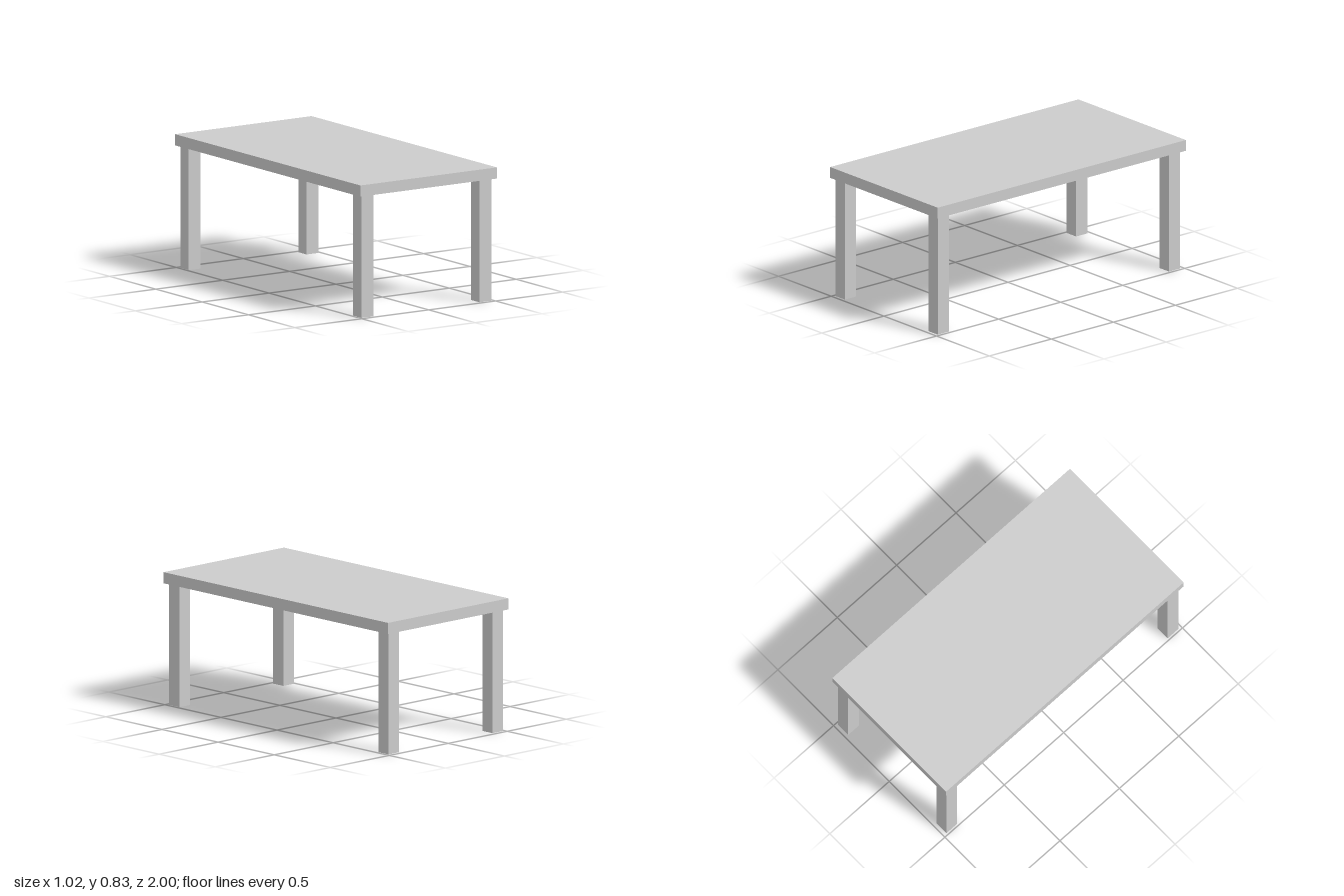
import * as THREE from 'three';

const TOP = { width: 1.02, depth: 2, thickness: 0.07 };
const LEG = { side: 0.09, height: 0.765 };

export function createModel() {
  const table = new THREE.Group();
  table.name = 'table';
  const material = new THREE.MeshStandardMaterial({ color: 0xcccccc, flatShading: true });

  // Box standing on height y
  function addBox(name, w, h, d, x, y, z) {
    const mesh = new THREE.Mesh(new THREE.BoxGeometry(w, h, d), material);
    mesh.name = name;
    mesh.position.set(x, y + h / 2, z);
    table.add(mesh);
  }

  // Flat slab
  addBox('tableTop', TOP.width, TOP.thickness, TOP.depth, 0, LEG.height, 0);

  // Four square legs, set in slightly from the corners
  for (const [xName, x] of [['Left', 0.439], ['Right', -0.442]]) {
    for (const [zName, z] of [['front', 0.932], ['back', -0.931]]) {
      addBox(`${zName}${xName}Leg`, LEG.side, LEG.height, LEG.side, x, 0, z);
    }
  }

  return table;
}
